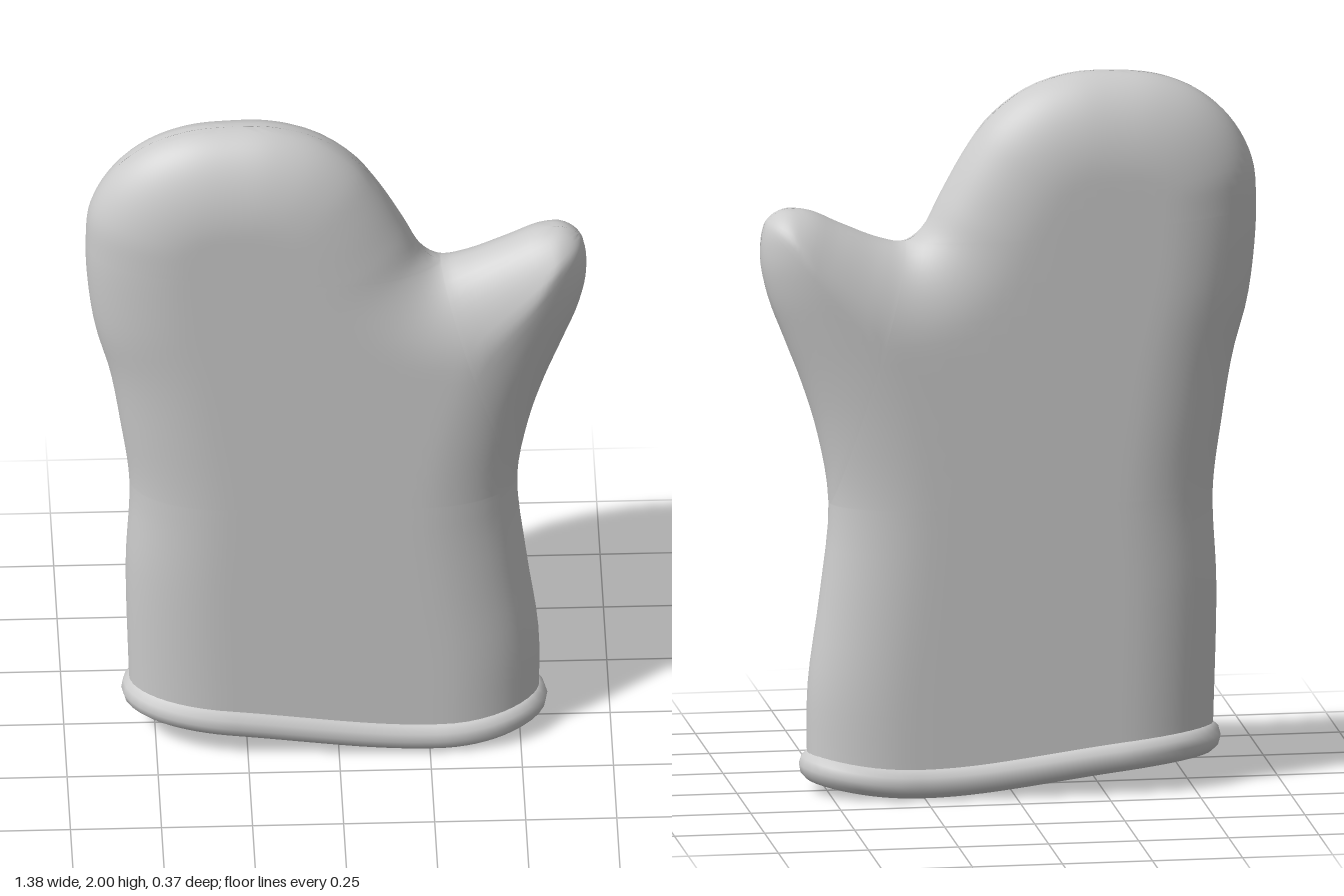
import * as THREE from 'three';
import { mergeVertices } from 'three/addons/utils/BufferGeometryUtils.js';

// Mitt outline, from the left cuff over the fingers and thumb to the right cuff
const OUTLINE = [
  [-0.57, 0.125], [-0.58, 0.55], [-0.57, 0.82], [-0.595, 1.02], [-0.625, 1.2], [-0.665, 1.35],
  [-0.685, 1.5], [-0.69, 1.62], [-0.68, 1.74], [-0.625, 1.85], [-0.535, 1.935], [-0.42, 1.985],
  [-0.29, 2.0], [-0.17, 1.995], [-0.05, 1.955], [0.05, 1.88], [0.12, 1.785], [0.19, 1.66],
  [0.235, 1.575], [0.285, 1.54], [0.35, 1.55], [0.46, 1.595], [0.55, 1.635], [0.62, 1.64],
  [0.67, 1.605], [0.685, 1.51], [0.665, 1.4], [0.62, 1.28], [0.57, 1.15], [0.525, 1.0],
  [0.495, 0.81], [0.52, 0.55], [0.553, 0.3], [0.555, 0.075],
];
// Indices of the landmarks on the outline
const WRIST_L = 2, FINGER_L = 7, TOP = 12, CROTCH = 19, TIP = 24, WRIST_R = 30, END = 33;

const curve = new THREE.CatmullRomCurve3(OUTLINE.map(([x, y]) => new THREE.Vector3(x, y, 0)));
const along = (from, to, u) => curve.getPoint((from + (to - from) * u) / END);
const ease = (u) => (1 - Math.cos(Math.PI * u)) / 2;
const border = curve.getPoints(660);

// Padding thickness grows with the distance from the outline
function halfThickness(p) {
  let best = Infinity;
  for (let i = 0; i + 1 < border.length; i++) {
    const a = border[i], b = border[i + 1];
    const dx = b.x - a.x, dy = b.y - a.y;
    const t = THREE.MathUtils.clamp(((p.x - a.x) * dx + (p.y - a.y) * dy) / (dx * dx + dy * dy), 0, 1);
    best = Math.min(best, Math.hypot(p.x - a.x - t * dx, p.y - a.y - t * dy));
  }
  if (best < 0.001) return 0;
  const k = 1 - Math.min(best / 0.27, 1);
  return 0.157 * Math.sqrt(1 - k * k);
}

// Adds a patch of rows x cols cells to both faces of the mitt
function addPatch(pos, index, rows, cols, pointAt) {
  const points = [];
  for (let r = 0; r <= rows; r++)
    for (let c = 0; c <= cols; c++) {
      const p = pointAt(r / rows, c / cols);
      p.z = halfThickness(p);
      points.push(p);
    }
  for (const side of [1, -1]) {
    const base = pos.length / 3;
    for (const p of points) pos.push(p.x, p.y, side * p.z);
    for (let r = 0; r < rows; r++)
      for (let c = 0; c < cols; c++) {
        const a = base + r * (cols + 1) + c, b = a + 1, d = a + cols + 1, e = d + 1;
        if (side > 0) index.push(a, b, e, a, e, d);
        else index.push(a, e, b, a, d, e);
      }
  }
}

// Lower sleeve, with a cuff edge that dips towards the thumb side
function sleevePoint(v, u) {
  const t = ease(u);
  const p = along(0, WRIST_L, v).lerp(along(END, WRIST_R, v), t);
  p.y -= 0.043 * Math.sin(Math.PI * Math.pow(t, 1.8)) * (1 - v);
  return p;
}

function mittGeometry() {
  const pos = [], index = [];
  const wrist = along(0, END, WRIST_R / END), crotch = along(0, END, CROTCH / END);
  const seam = (v) => wrist.clone().lerp(crotch, ease(v));
  addPatch(pos, index, 12, 36, sleevePoint);
  // Palm, ending at an inner line from wrist to thumb crotch
  addPatch(pos, index, 24, 36, (v, u) => along(WRIST_L, FINGER_L, ease(v)).lerp(seam(v), ease(u)));
  // Fingers, closing at the top
  addPatch(pos, index, 24, 36, (v, u) => along(FINGER_L, TOP, v).lerp(along(CROTCH, TOP, v), ease(u)));
  // Thumb, closing at its tip
  addPatch(pos, index, 24, 24, (v, u) => along(WRIST_R, TIP, u).lerp(along(CROTCH, TIP, u), ease(v)));
  const g = new THREE.BufferGeometry();
  g.setAttribute('position', new THREE.Float32BufferAttribute(pos, 3));
  g.setIndex(index);
  const merged = mergeVertices(g, 1e-4);
  merged.computeVertexNormals();
  return merged;
}

// Rounded binding around the open cuff
function hemGeometry() {
  const front = [], back = [], n = 20;
  for (let i = 0; i <= n; i++) {
    const p = sleevePoint(0, i / n);
    const z = halfThickness(p) * 0.88;
    const x = p.x * 0.96;
    front.push(new THREE.Vector3(x, p.y, z));
    if (i > 0 && i < n) back.unshift(new THREE.Vector3(x, p.y, -z));
  }
  const loop = new THREE.CatmullRomCurve3([...front, ...back], true);
  return new THREE.TubeGeometry(loop, 96, 0.045, 12, true);
}

export function createModel() {
  const group = new THREE.Group();
  group.name = 'ovenMitt';
  const material = new THREE.MeshStandardMaterial({ color: 0xcccccc, side: THREE.DoubleSide });
  const mitt = new THREE.Mesh(mittGeometry(), material);
  mitt.name = 'mittBody';
  const hem = new THREE.Mesh(hemGeometry(), material);
  hem.name = 'cuffHem';
  group.add(mitt, hem);
  return group;
}
